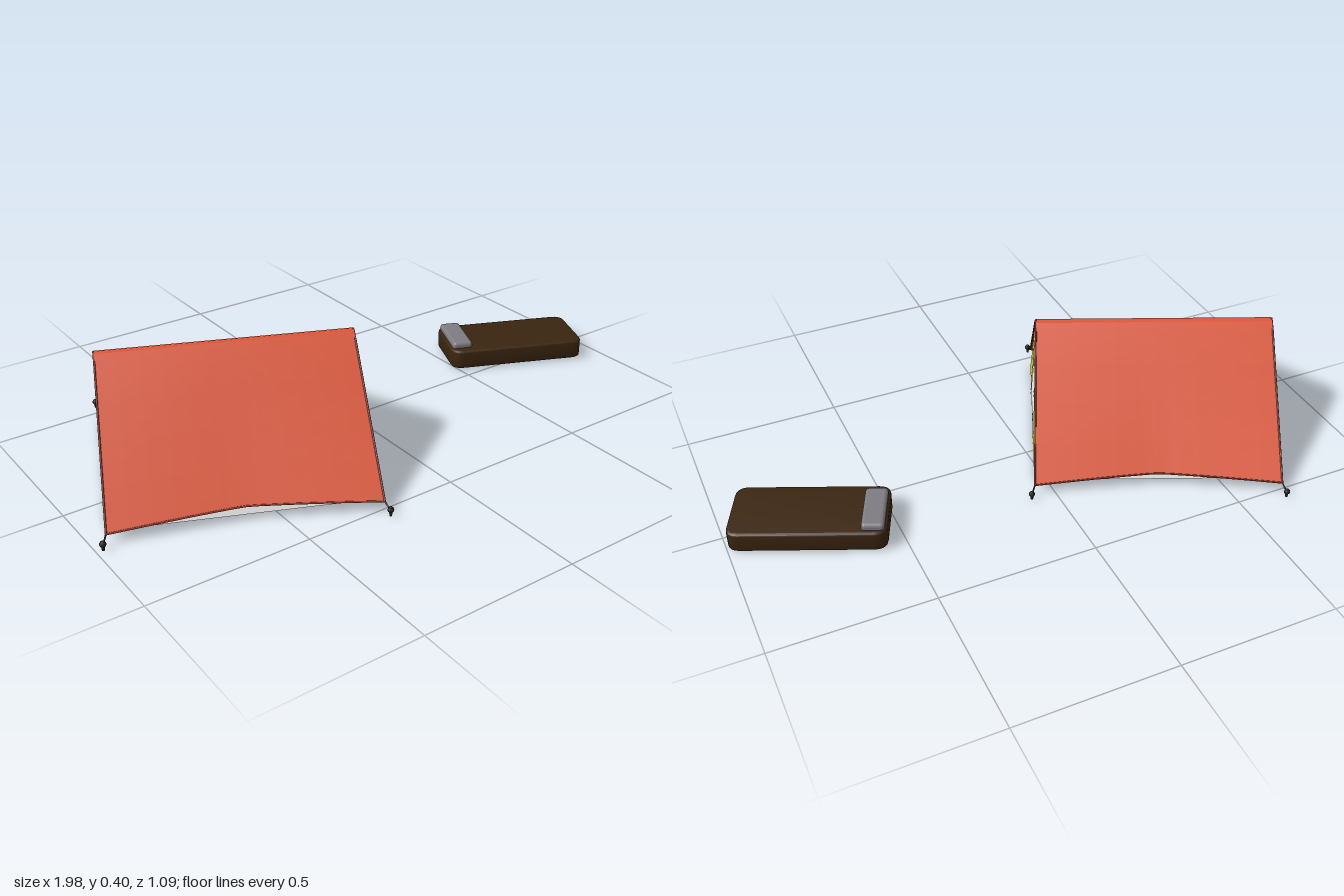
import * as THREE from 'three';
import { toCreasedNormals } from 'three/addons/utils/BufferGeometryUtils.js';
import { RoundedBoxGeometry } from 'three/addons/geometries/RoundedBoxGeometry.js';

const mat = (name, color, side = THREE.FrontSide) => {
  const m = new THREE.MeshStandardMaterial({ color, side });
  m.name = name;
  return m;
};

export function createModel() {
  const red = mat('flyRed', 0xdb5638, THREE.DoubleSide);
  const hemRed = mat('hemRed', 0x93382a);
  const white = mat('canvasWhite', 0xdcdcdc, THREE.DoubleSide);
  const yellow = mat('doorYellow', 0xdacd24, THREE.DoubleSide);
  const olive = mat('zipOlive', 0x7d7518, THREE.DoubleSide);
  const black = mat('pegBlack', 0x26221f);
  const brown = mat('bagBrown', 0x3a2510);
  const grey = mat('pillowGrey', 0x7e7c82);

  const model = new THREE.Group();
  const tent = new THREE.Group();
  tent.name = 'tent';
  tent.position.set(-0.45, 0, 0);
  tent.rotation.y = -0.411;
  model.add(tent);

  const add = (parent, name, geometry, material) => {
    const mesh = new THREE.Mesh(geometry, material);
    mesh.name = name;
    parent.add(mesh);
    return mesh;
  };

  // Flat polygon from corner points, as a fan
  const panel = (name, pts, material) => {
    const pos = [];
    for (let i = 1; i < pts.length - 1; i++) {
      for (const p of [pts[0], pts[i], pts[i + 1]]) pos.push(...p);
    }
    const g = new THREE.BufferGeometry();
    g.setAttribute('position', new THREE.Float32BufferAttribute(pos, 3));
    g.computeVertexNormals();
    return add(tent, name, g, material);
  };

  // Inner tent: the end walls lean in very slightly
  const H = 0.385, W = 0.321, TOP = 0.01;
  const end = (y, z, s = 1, lift = 0) => [s * (0.389 - 0.01 * y / H + lift), y, z];
  panel('floor', [end(0, W), end(0, -W), end(0, -W, -1), end(0, W, -1)], white);
  panel('backWall', [end(0, -W, -1), end(0, W, -1), end(H, TOP, -1), end(H, -TOP, -1)], white);
  panel('innerRidge', [end(H, TOP), end(H, -TOP), end(H, -TOP, -1), end(H, TOP, -1)], white);
  panel('doorSill', [end(0, W), end(0, -W), end(0.01, -0.312), end(0.01, 0.312)], white);
  for (const s of [1, -1]) {
    panel('sideWall', [end(0, s * W), end(H, s * TOP), end(H, s * TOP, -1), end(0, s * W, -1)], white);
    panel('doorBorder', [end(0.01, s * 0.313), end(H, s * TOP), end(H, 0), end(0.378, s * 0.003), end(0.01, s * 0.302)], white);
    panel('doorPanel', [end(0.01, s * 0.302), end(0.378, s * 0.003), end(0.37, 0), end(0.01, s * 0.135)], yellow);
    // Paired zip lines beside the opening
    for (const z of [0.135, 0.15]) {
      panel('zip', [end(0.01, s * z, 1, 0.003), end(0.01, s * (z - 0.006), 1, 0.003),
        end(0.375, 0, 1, 0.003), end(0.375, s * 0.003, 1, 0.003)], olive);
    }
  }

  // Fly sheet: rounded ridge, straight slopes, edge drawn in at the middle
  const ridge = [[0, 0.397], [0.012, 0.394], [0.024, 0.384]];
  const flyPoint = (a, row) => {
    const s = Math.sign(row), r = Math.abs(row);
    let y, z, u;
    if (r <= 2) {
      [z, y] = ridge[r];
      u = 0.379;
    } else {
      const t = (r - 2) / 4, k = Math.pow(Math.abs(a), 1.2);
      z = THREE.MathUtils.lerp(0.024, 0.35 + 0.033 * k, t);
      y = THREE.MathUtils.lerp(0.384, 0.046 - 0.016 * k, t);
      u = 0.379 + 0.009 * t;
    }
    return new THREE.Vector3(a * u, y, s * z);
  };
  const fly = new THREE.PlaneGeometry(2, 12, 12, 12);
  const p = fly.attributes.position;
  for (let i = 0; i < p.count; i++) {
    const v = flyPoint(p.getX(i), Math.round(p.getY(i)));
    p.setXYZ(i, v.x, v.y, v.z);
  }
  add(tent, 'flySheet', toCreasedNormals(fly, 0.2), red);

  // Hems along the lower edges and the open ends
  const tube = (name, pts, r, material) =>
    add(tent, name, new THREE.TubeGeometry(new THREE.CatmullRomCurve3(pts), 24, r, 6), material);
  const rows = Array.from({ length: 13 }, (_, i) => i - 6);
  for (const s of [1, -1]) {
    tube('sideHem', rows.map(i => flyPoint(i / 6, s * 6)), 0.003, hemRed);
    tube('endHem', rows.map(i => flyPoint(s, i)), 0.003, hemRed);
  }

  // Guy cords and ground pegs at the four corners
  for (const sx of [1, -1]) for (const sz of [1, -1]) {
    const corner = flyPoint(sx, sz * 6);
    const pegTop = new THREE.Vector3(sx * 0.398, 0.022, sz * 0.413);
    const mid = corner.clone().lerp(pegTop, 0.5).setY(0.023);
    tube('guyCord', [corner, mid, pegTop], 0.0025, black);
    const peg = add(tent, 'peg', new THREE.CylinderGeometry(0.006, 0.004, 0.028, 8), black);
    peg.position.set(sx * 0.398, 0.014, sz * 0.413);
    const head = add(tent, 'pegHead', new THREE.SphereGeometry(0.01, 8, 6), black);
    head.position.set(sx * 0.398, 0.02, sz * 0.413);
  }

  // Sleeping mat with a pillow at one end
  const bed = new THREE.Group();
  bed.name = 'bed';
  bed.position.set(0.741, 0, -0.063);
  bed.rotation.y = -0.411;
  model.add(bed);
  const slab = (name, w, d, h, r, b, material) => {
    const shape = new THREE.Shape();
    const x = w / 2 - b, z = d / 2 - b;
    shape.moveTo(-x + r, -z);
    shape.lineTo(x - r, -z); shape.quadraticCurveTo(x, -z, x, -z + r);
    shape.lineTo(x, z - r); shape.quadraticCurveTo(x, z, x - r, z);
    shape.lineTo(-x + r, z); shape.quadraticCurveTo(-x, z, -x, z - r);
    shape.lineTo(-x, -z + r); shape.quadraticCurveTo(-x, -z, -x + r, -z);
    const g = new THREE.ExtrudeGeometry(shape, {
      depth: h - 2 * b, bevelThickness: b, bevelSize: b, bevelSegments: 3, curveSegments: 5,
    });
    g.rotateX(-Math.PI / 2).translate(0, b, 0);
    return add(bed, name, toCreasedNormals(g, 0.6), material);
  };
  slab('sleepingMat', 0.476, 0.222, 0.066, 0.03, 0.008, brown).position.y = 0.004;
  const pillow = add(bed, 'pillow', new RoundedBoxGeometry(0.07, 0.03, 0.176, 3, 0.012), grey);
  pillow.position.set(-0.196, 0.075, -0.007);

  return model;
}
